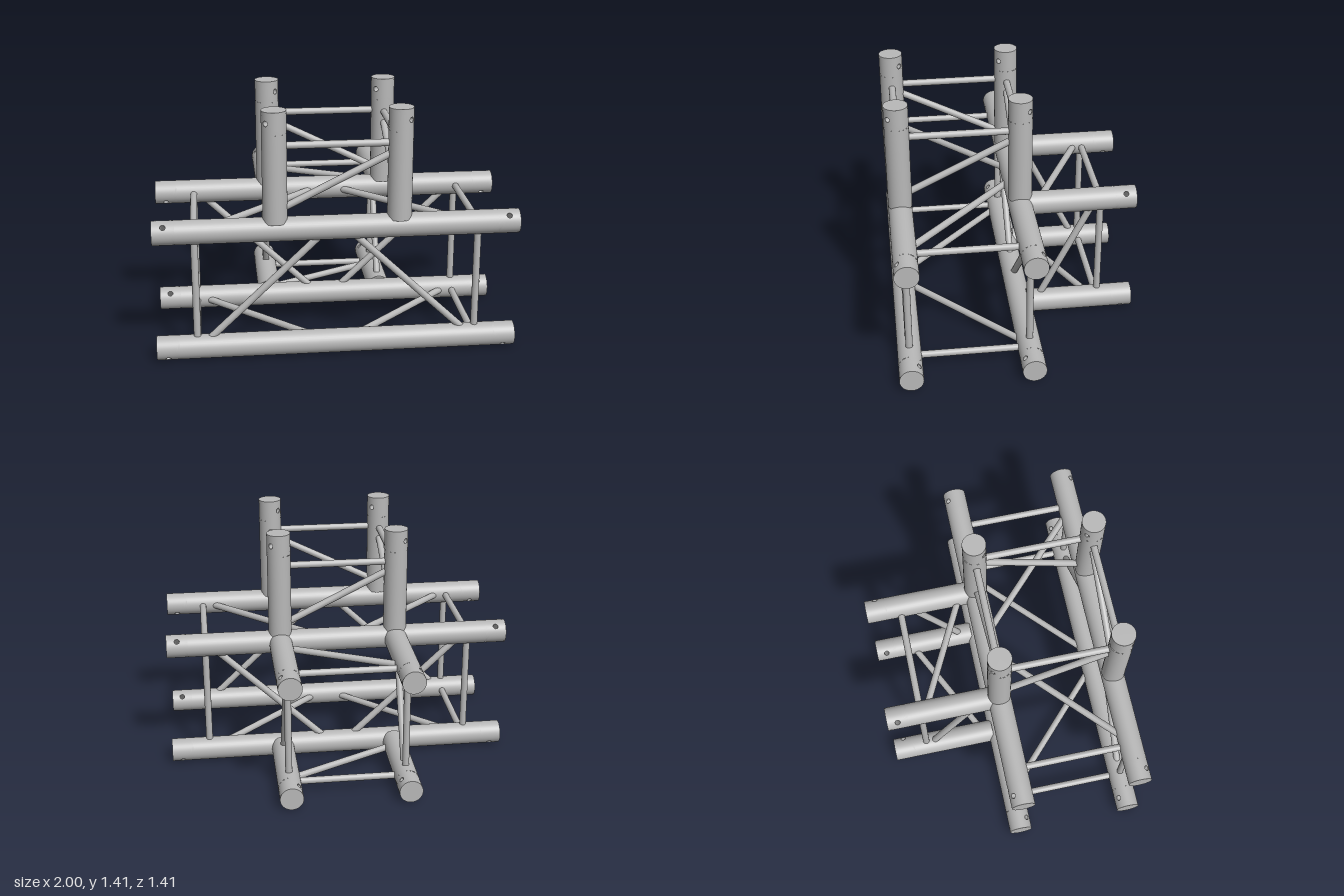
import * as THREE from 'three';
import { ParametricGeometry } from 'three/addons/geometries/ParametricGeometry.js';

const R = 0.0673;        // main pipe radius
const r = 0.02;          // bracing radius
const PIN = 0.015;       // pin hole radius
const BAND = 0.062;      // half length of the drilled band at a pipe end
const LOW = 0.0673, HIGH = 0.7445, FRONT = 0.637, BACK = -0.039, SIDE = 0.338;

const V = (x, y, z) => new THREE.Vector3(x, y, z);

export function createModel() {
  const model = new THREE.Group();
  const metal = new THREE.MeshStandardMaterial({ color: 0xb8b8b8, side: THREE.DoubleSide });
  metal.name = 'aluminiumGrey';

  // Half of a pipe wall, wrapped around a round hole
  const drilledWall = new ParametricGeometry((u, v, out) => {
    const a = -u * Math.PI * 2, c = Math.cos(a), s = Math.sin(a);
    const m = Math.max(Math.abs(c), Math.abs(s));
    const arc = THREE.MathUtils.lerp(PIN * c, R * Math.PI / 2 * c / m, v);
    const len = THREE.MathUtils.lerp(PIN * s, BAND * s / m, v);
    out.set(R * Math.sin(arc / R), len, R * Math.cos(arc / R));
  }, 40, 10);
  const pinLining = new THREE.CylinderGeometry(PIN, PIN, R * 1.94, 20, 1, true).rotateX(Math.PI / 2);
  const endCap = new THREE.CircleGeometry(R, 40).rotateX(-Math.PI / 2);

  function add(parent, geometry, name, y = 0) {
    const mesh = new THREE.Mesh(geometry, metal);
    mesh.name = name;
    mesh.position.y = y;
    parent.add(mesh);
    return mesh;
  }

  // Capped pipe from a to b; pinDir is the direction of the pin holes
  function pipe(a, b, pinDir, bothEnds, name) {
    const group = new THREE.Group();
    group.name = name;
    const L = a.distanceTo(b);
    const yAxis = b.clone().sub(a).normalize(), zAxis = pinDir.clone().normalize();
    const xAxis = yAxis.clone().cross(zAxis);
    group.quaternion.setFromRotationMatrix(new THREE.Matrix4().makeBasis(xAxis, yAxis, zAxis));
    group.position.copy(a);
    const start = bothEnds ? 2 * BAND : 0, end = L - 2 * BAND;
    add(group, new THREE.CylinderGeometry(R, R, end - start, 40, 1, true), 'pipeWall', (start + end) / 2);
    for (const y of bothEnds ? [BAND, L - BAND] : [L - BAND]) {
      add(group, drilledWall, 'drilledWall', y);
      add(group, drilledWall, 'drilledWall', y).rotation.y = Math.PI;
      add(group, pinLining, 'pinHole', y);
    }
    add(group, endCap, 'endCap', L);
    add(group, endCap, 'endCap', 0).rotation.x = Math.PI;
    model.add(group);
  }

  // Thin round bar between two points
  function bar(a, b, name) {
    const d = b.clone().sub(a);
    const mesh = add(model, new THREE.CylinderGeometry(r, r, d.length(), 16), name);
    mesh.position.copy(a).addScaledVector(d, 0.5);
    mesh.quaternion.setFromUnitVectors(V(0, 1, 0), d.normalize());
  }

  // Four rungs and four diagonals winding round an arm; each corner maps t to a point
  function bracing(corners, rungAt, near, far, name) {
    corners.forEach((p, i) => {
      const q = corners[(i + 1) % 4];
      bar(p(rungAt), q(rungAt), name + 'Rung');
      bar(p(near), q(far), name + 'Diagonal');
    });
  }

  // Long horizontal chords
  for (const [y, sy] of [[LOW, -1], [HIGH, 1]])
    for (const [z, sz] of [[BACK, -1], [FRONT, 1]])
      pipe(V(-1, y, z), V(1, y, z), V(0, sy, sz), true, 'longChord');

  // Upright and rear pipes, butting against the chords
  for (const s of [-1, 1]) {
    for (const [z, sz] of [[BACK, -1], [FRONT, 1]])
      pipe(V(s * SIDE, 0.787, z), V(s * SIDE, 1.408, z), V(s, 0, sz), false, 'uprightPipe');
    for (const [y, sy] of [[LOW, -1], [HIGH, 1]])
      pipe(V(s * SIDE, y, -0.082), V(s * SIDE, y, -0.704), V(s, sy, 0), false, 'rearPipe');
  }

  // Bracing of the left and right arms
  const chordCorners = [[LOW, FRONT], [HIGH, FRONT], [HIGH, BACK], [LOW, BACK]]
    .map(([y, z]) => t => V(t, y, z));
  for (const s of [-1, 1]) bracing(chordCorners, s * 0.776, s * 0.755, s * 0.045, 'sideArm');

  // Bracing of the upper arm
  bracing([[-SIDE, FRONT], [SIDE, FRONT], [SIDE, BACK], [-SIDE, BACK]]
    .map(([x, z]) => t => V(x, t, z)), 1.213, 0.842, 1.18, 'upperArm');

  // Bracing of the rear arm
  bracing([[SIDE, LOW], [SIDE, HIGH], [-SIDE, HIGH], [-SIDE, LOW]]
    .map(([x, y]) => t => V(x, y, t)), -0.503, -0.137, -0.475, 'rearArm');

  return model;
}
